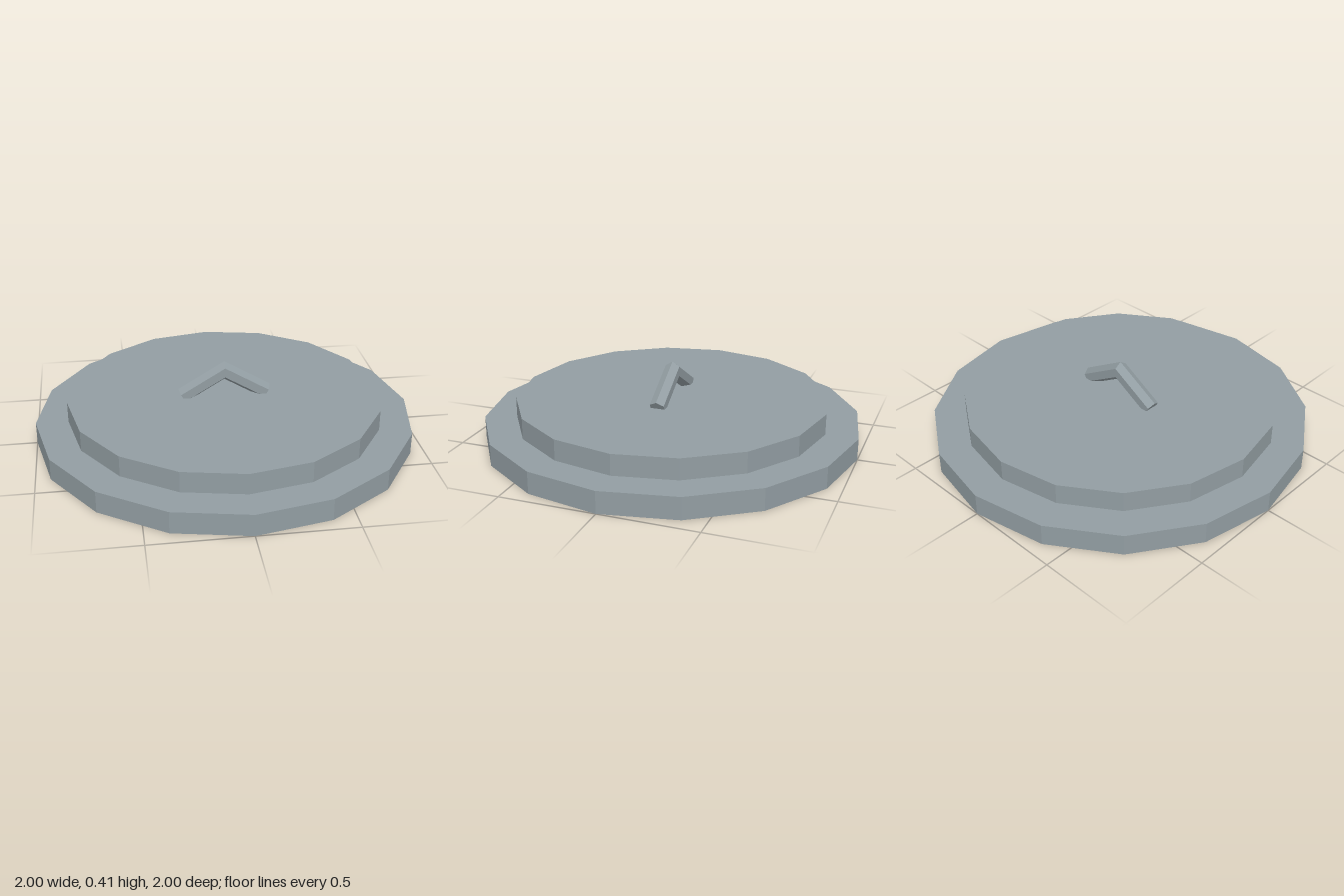
import * as THREE from 'three';

export function createModel() {
  const model = new THREE.Group();
  const metal = new THREE.MeshStandardMaterial({ color: 0x929da2 });
  metal.name = 'greyMetal';
  metal.flatShading = true;

  const add = (name, geometry) => {
    const mesh = new THREE.Mesh(geometry, metal);
    mesh.name = name;
    model.add(mesh);
  };

  // Two stacked sixteen-sided discs
  const disc = (radius, bottom, top) =>
    new THREE.CylinderGeometry(radius, radius, top - bottom, 16)
      .translate(0, (bottom + top) / 2, 0);
  add('lowerDisc', disc(1, 0, 0.115));
  add('upperDisc', disc(0.83, 0.115, 0.225));

  // One half of the bent handle: a hexagonal bar, mitred at the peak
  const end = new THREE.Vector2(0.223, 0.2275);
  const peak = new THREE.Vector2(0, 0.3605);
  const length = end.distanceTo(peak);
  const tilt = Math.atan2(end.x, peak.y - end.y);
  const handleHalf = () => {
    const bar = new THREE.CylinderGeometry(0.044, 0.044, length, 6, 1, false, Math.PI / 2);
    const p = bar.attributes.position;
    for (let i = 0; i < p.count; i++) {
      if (p.getY(i) > 0) p.setY(i, p.getY(i) + p.getX(i) / Math.tan(tilt));
    }
    bar.rotateZ(tilt).translate(end.x / 2, (end.y + peak.y) / 2, 0);
    bar.computeVertexNormals();
    return bar;
  };
  add('handleLeft', handleHalf());
  add('handleRight', handleHalf().rotateY(Math.PI));

  return model;
}
